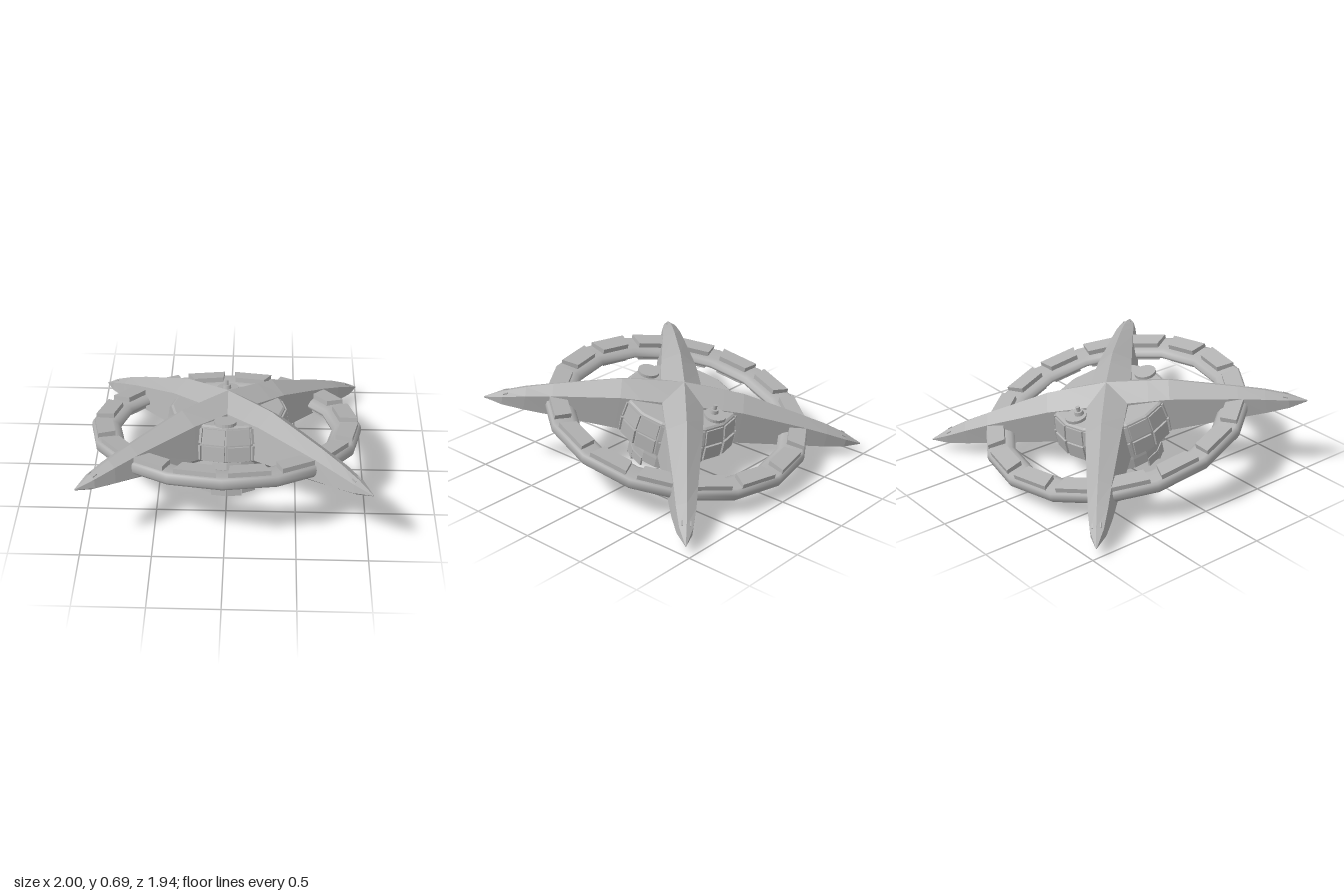
import * as THREE from 'three';

const hull = new THREE.MeshStandardMaterial({ color: 0xb2b2b2 });
hull.name = 'hullGrey';

const SIDES = 16;
const STEP = (Math.PI * 2) / SIDES;

// Faceted normals
function flat(geo) {
  const g = geo.index ? geo.toNonIndexed() : geo;
  g.computeVertexNormals();
  return g;
}

function add(parent, name, geo) {
  const m = new THREE.Mesh(geo, hull);
  m.name = name;
  parent.add(m);
  return m;
}

function addGroup(parent, name, x, z) {
  const g = new THREE.Group();
  g.name = name;
  g.position.set(x, 0, z);
  parent.add(g);
  return g;
}

function lathe(points) {
  return new THREE.LatheGeometry(points.map(([r, y]) => new THREE.Vector2(r, y)), SIDES);
}

// Trapezoid plate lying flat, wide end outward along +z
function trapezoid(rIn, rOut, halfIn, halfOut, y, height) {
  const s = new THREE.Shape();
  s.moveTo(-halfIn, -rIn);
  s.lineTo(-halfOut, -rOut);
  s.lineTo(halfOut, -rOut);
  s.lineTo(halfIn, -rIn);
  const g = new THREE.ExtrudeGeometry(s, { depth: height, bevelEnabled: false });
  g.rotateX(-Math.PI / 2);
  g.translate(0, y, 0);
  return g;
}

// Tapering arm along +x, lofted through stations [r, halfWidth, ridge, eave, keel]
function armGeometry() {
  const stations = [
    [0, 0.175, 0.345, -0.03, -0.11],
    [0.3, 0.158, 0.322, -0.03, -0.11],
    [0.45, 0.145, 0.308, -0.03, -0.1],
    [0.93, 0.095, 0.187, -0.02, -0.06],
    [1.12, 0.078, 0.13, -0.015, -0.045],
    [1.28, 0.053, 0.07, -0.01, -0.032],
    [1.41, 0.004, 0.004, 0, -0.004],
  ];
  const rings = stations.map(([r, w, top, eave, keel]) => {
    const shoulder = top - (top - eave) * 0.25;
    return [
      [0, top], [w * 0.9, shoulder], [w, eave], [w * 0.3, keel],
      [-w * 0.3, keel], [-w, eave], [-w * 0.9, shoulder],
    ].map(([z, y]) => [r, y, z]);
  });
  const pos = [];
  const n = rings[0].length;
  for (let i = 0; i < rings.length - 1; i++) {
    for (let j = 0; j < n; j++) {
      const k = (j + 1) % n;
      const a = rings[i][j], b = rings[i][k], c = rings[i + 1][k], d = rings[i + 1][j];
      pos.push(...a, ...b, ...c, ...a, ...c, ...d);
    }
  }
  const tip = rings[rings.length - 1];
  for (let j = 1; j < n - 1; j++) pos.push(...tip[0], ...tip[j], ...tip[j + 1]);
  const g = new THREE.BufferGeometry();
  g.setAttribute('position', new THREE.Float32BufferAttribute(pos, 3));
  g.computeVertexNormals();
  return g;
}

export function createModel() {
  const model = new THREE.Group();
  model.name = 'spaceStation';
  const station = new THREE.Group();
  station.name = 'tiltedStation';
  station.position.y = 0.32;
  station.rotation.x = -0.244;
  model.add(station);

  // Habitat ring with an upright outer rim and a recessed underside
  const ring = addGroup(station, 'ring', -0.012, 0.01);
  add(ring, 'habitatRing', lathe([
    [0.8, 0.025], [0.87, 0.018], [0.94, 0.006], [0.968, 0.008], [0.985, 0.028], [0.989, 0.06],
    [0.983, 0.088], [0.96, 0.1], [0.835, 0.092], [0.8, 0.078], [0.775, 0.055], [0.78, 0.035], [0.8, 0.025],
  ]));

  // Raised plates above and below every ring segment
  const topPlate = trapezoid(0.825, 0.95, 0.115, 0.147, 0.085, 0.045);
  const lowPlate = trapezoid(0.81, 0.91, 0.11, 0.135, -0.01, 0.04);
  for (let i = 0; i < SIDES; i++) {
    const angle = (i + 0.5) * STEP;
    add(ring, 'ringTopPlate', topPlate).rotation.y = angle;
    add(ring, 'ringLowerPlate', lowPlate).rotation.y = angle;
  }

  // Four diagonal arms with small slots near the tips
  const arm = armGeometry();
  const slot = new THREE.BoxGeometry(0.035, 0.008, 0.008);
  for (let i = 0; i < 4; i++) {
    const g = addGroup(station, 'arm', 0, 0);
    g.rotation.y = Math.PI / 4 + (i * Math.PI) / 2;
    add(g, 'armHull', arm);
    for (const side of [-1, 1]) {
      const s = add(g, 'armSlot', slot);
      s.position.set(1.26, 0.068, side * 0.028);
      s.rotation.z = -0.38;
    }
  }

  // Central hub drum, slightly narrower at the roof
  add(station, 'hub', flat(lathe([
    [0, -0.07], [0.3, -0.07], [0.4, -0.055], [0.437, -0.035], [0.437, 0.09], [0.415, 0.215], [0.4, 0.225], [0, 0.225],
  ])));

  // Two rows of panels on the drum wall
  const panel = new THREE.BoxGeometry(0.15, 0.11, 0.03);
  for (let i = 0; i < SIDES; i++) {
    const angle = (i + 0.5) * STEP;
    for (const [y, r, lean] of [[0.025, 0.43, 0], [0.148, 0.415, -0.16]]) {
      const p = add(station, 'hubPanel', panel);
      p.position.set(Math.sin(angle) * r, y, Math.cos(angle) * r);
      p.rotation.set(lean, angle, 0, 'YXZ');
    }
  }

  // Round hatches on the hub roof, the rear one with a beacon
  for (const z of [-0.32, 0.345]) {
    add(station, 'roofHatch', flat(new THREE.CylinderGeometry(0.08, 0.08, 0.025, 24))).position.set(-0.01, 0.235, z);
  }
  add(station, 'beaconBase', new THREE.CylinderGeometry(0.03, 0.035, 0.03, 12)).position.set(-0.02, 0.26, -0.295);
  add(station, 'beaconPost', new THREE.CylinderGeometry(0.015, 0.015, 0.04, 10)).position.set(-0.02, 0.29, -0.295);

  // Lower stem with a hollow dish underneath
  const base = addGroup(station, 'base', 0, 0.022);
  add(base, 'stem', flat(lathe([
    [0, -0.15], [0.14, -0.165], [0.24, -0.21], [0.27, -0.262], [0.285, -0.262],
    [0.283, -0.19], [0.272, -0.11], [0.255, -0.03],
  ])));

  // Skirt panels around the front half of the stem, stepping longer toward the front
  const drops = [0.305, 0.325, 0.345, 0.36];
  for (let i = 0; i < 8; i++) {
    const angle = (i - 3.5) * STEP;
    const bottom = drops[i < 4 ? i : 7 - i];
    const h = bottom - 0.24;
    const p = add(base, 'skirtPanel', new THREE.BoxGeometry(0.112, h, 0.016));
    p.position.set(Math.sin(angle) * 0.279, -0.24 - h / 2, Math.cos(angle) * 0.279);
    p.rotation.y = angle;
  }

  return model;
}
